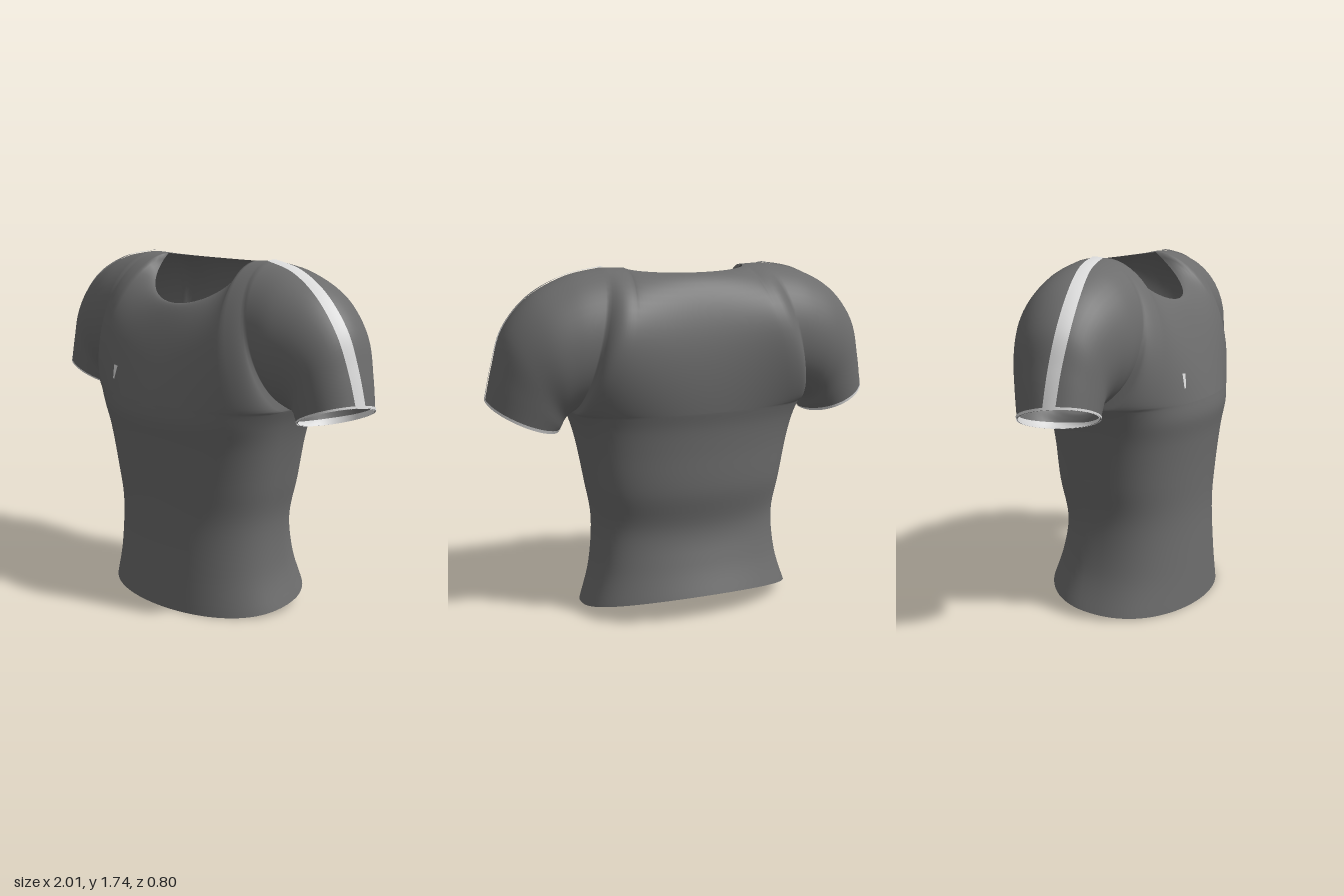
import * as THREE from 'three';
import { mergeGeometries, mergeVertices } from 'three/addons/utils/BufferGeometryUtils.js';

const { lerp } = THREE.MathUtils;
const SIDE_Z = -0.05; // depth of the side and shoulder seams
const NECK = 0.6;     // share of a panel's width taken by the neckline

// Smooth interpolation through rows of numbers, t counted in rows
function track(rows) {
  return (t) => {
    const last = rows.length - 1;
    const i = Math.min(Math.floor(t), last - 1), f = t - i;
    const [a, b, c, d] = [i - 1, i, i + 1, i + 2].map((k) => rows[Math.max(0, Math.min(last, k))]);
    return b.map((_, k) => b[k] + 0.5 * f * (c[k] - a[k] + f * (2 * a[k] - 5 * b[k] + 4 * c[k] - d[k]
      + f * (3 * (b[k] - c[k]) + d[k] - a[k]))));
  };
}

// Grid surface from a rule (u, v in 0..1) giving [x, y, z]
function patch(rule, nu, nv, flip = false) {
  const pos = [], index = [];
  for (let j = 0; j <= nv; j++) for (let i = 0; i <= nu; i++) pos.push(...rule(i / nu, j / nv));
  for (let j = 0; j < nv; j++) {
    for (let i = 0; i < nu; i++) {
      const a = j * (nu + 1) + i, b = a + 1, c = a + nu + 1, d = c + 1;
      index.push(...(flip ? [a, d, b, a, c, d] : [a, b, d, a, d, c]));
    }
  }
  const g = new THREE.BufferGeometry();
  g.setAttribute('position', new THREE.Float32BufferAttribute(pos, 3));
  g.setIndex(index);
  return g;
}

function join(parts) {
  const g = mergeVertices(mergeGeometries(parts), 1e-4);
  g.computeVertexNormals();
  return g;
}

// Waist rings: front y, back y, half width, front z, back z
const waist = track([
  [0.005, 0.13, 0.55, 0.37, -0.40],
  [0.20, 0.28, 0.495, 0.36, -0.345],
  [0.45, 0.45, 0.475, 0.35, -0.31],
  [0.65, 0.65, 0.505, 0.36, -0.345],
  [0.85, 0.85, 0.54, 0.38, -0.352],
  [0.97, 0.97, 0.57, 0.398, -0.36],
  [1.05, 1.05, 0.60, 0.39, -0.375],
]);
const WAIST_END = 6;

function waistPoint(u, t, side) {
  const [yf, yb, w, zf, zb] = waist(t);
  const phi = u * Math.PI / 2;
  const c = Math.pow(Math.max(0, Math.cos(phi)), lerp(0.85, 0.58, t / WAIST_END));
  const back = (1 - side * c) / 2;
  return [w * Math.sin(phi), lerp(yf, yb, back * back), SIDE_Z + c * ((side > 0 ? zf : zb) - SIDE_Z)];
}

// Shoulder seam and neckline
function topPoint(u, side) {
  const k = Math.abs(u), sign = Math.sign(u);
  if (k >= NECK) {
    const f = (k - NECK) / (1 - NECK);
    return [sign * lerp(0.31, 0.42, f), lerp(1.73, 1.735, f), SIDE_Z];
  }
  const a = k / NECK * Math.PI / 2, c = Math.cos(a);
  return [sign * 0.31 * Math.sin(a), 1.73 - (side > 0 ? 0.21 : 0.02) * c, SIDE_Z + (side > 0 ? 0.25 : -0.15) * c];
}

// Chest and back panels: each column swells to a set depth halfway up
function panelPoint(u, v, side) {
  const theta = Math.PI * (1 - v), f = (1 + Math.cos(theta)) / 2;
  const low = waistPoint(u, WAIST_END, side), top = topPoint(u, side);
  const p = low.map((q, k) => lerp(q, top[k], f));
  const u2 = u * u, u4 = u2 * u2;
  const middle = side > 0 ? 0.32 - 0.09 * u2 : -0.38 - 0.12 * u2 + 0.17 * u4;
  const swell = lerp(2.83 * f * Math.sqrt(1 - f), Math.sin(theta), u4);
  p[2] += (middle - (low[2] + top[2]) / 2) * swell;
  return p;
}

// Sleeve rings: top x, top y, bottom x, bottom y, front z, back z
const sleeve = track([
  [0.42, 1.735, 0.60, 1.05, 0.23, -0.33],
  [0.60, 1.70, 0.615, 1.04, 0.222, -0.325],
  [0.78, 1.61, 0.63, 1.03, 0.195, -0.31],
  [0.91, 1.46, 0.64, 1.01, 0.17, -0.277],
  [0.965, 1.28, 0.65, 0.985, 0.16, -0.25],
  [1.0, 1.115, 0.66, 0.975, 0.155, -0.225],
]);
const SLEEVE_END = 5;

// Point around a sleeve; the rings tip up at the front towards the cuff
function sleevePoint(theta, t, mirror, offset = 0) {
  const [tx, ty, bx, by, zf, zb] = sleeve(t);
  const c = Math.cos(theta), s = Math.sin(theta);
  const ax = (tx - bx) / 2, ay = (ty - by) / 2;
  const grow = 1 + offset / Math.hypot(ax, ay);
  const tip = 0.035 * (t / SLEEVE_END) ** 2;
  return [mirror * ((tx + bx) / 2 + ax * c * grow), (ty + by) / 2 + ay * c * grow + tip * s,
    (zf + zb) / 2 + ((zf - zb) / 2 + offset) * s];
}

// Centre line of the stripe in z, ring by ring
const stripeZ = track([[-0.035], [-0.01], [0.02], [0.028], [0.014], [0.005]]);

function stripePoint(u, v, mirror) {
  const t = v * SLEEVE_END, [, , , , zf, zb] = sleeve(t);
  const z = stripeZ(t)[0] + lerp(-0.028, 0.028, u);
  const theta = Math.asin((z - (zf + zb) / 2) / ((zf - zb) / 2));
  return sleevePoint(theta, t, mirror, 0.006);
}

// Even band of the given width along the cuff
function cuffBand(width, offset, mirror) {
  return patch((u, v) => {
    const theta = (2 * u - 1) * Math.PI;
    const ringGap = lerp(0.022, 0.16, (1 + Math.cos(theta)) / 2);
    return sleevePoint(theta, SLEEVE_END - (1 - v) * width / ringGap, mirror, offset);
  }, 48, 4, mirror < 0);
}

export function createModel() {
  const group = new THREE.Group();
  const fabric = new THREE.MeshStandardMaterial({ color: 0x6c6c6c, side: THREE.DoubleSide });
  fabric.name = 'grey fabric';
  const trim = new THREE.MeshStandardMaterial({ color: 0xdcdcdc, side: THREE.DoubleSide });
  trim.name = 'light trim';
  const add = (name, geometry, material) => {
    const mesh = new THREE.Mesh(geometry, material);
    mesh.name = name;
    group.add(mesh);
  };

  // Body panels and sleeves sewn into one smooth shell
  const shell = [];
  for (const side of [1, -1]) {
    shell.push(patch((u, v) => waistPoint(2 * u - 1, v * WAIST_END, side), 40, 36, side < 0));
    shell.push(patch((u, v) => panelPoint(2 * u - 1, v, side), 40, 24, side < 0));
  }
  for (const mirror of [1, -1]) {
    shell.push(patch((u, v) => sleevePoint((2 * u - 1) * Math.PI, v * SLEEVE_END, mirror), 48, 30, mirror < 0));
  }
  add('shirt', join(shell), fabric);

  // Shoulder stripes and cuff edging
  for (const mirror of [1, -1]) {
    const name = mirror > 0 ? 'left' : 'right';
    add(`${name}ShoulderStripe`, join([patch((u, v) => stripePoint(u, v, mirror), 4, 40, mirror < 0)]), trim);
    add(`${name}CuffEdge`, join([cuffBand(0.018, 0.004, mirror)]), trim);
    add(`${name}CuffLining`, join([cuffBand(0.03, -0.004, mirror)]), trim);
  }

  // Small light fleck on the right of the chest
  add('chestFleck', join([patch((u, v) => {
    const [x, y, z] = panelPoint(-0.33 + (u - 0.5) * lerp(0.015, 0.04, v), lerp(0.245, 0.345, v), 1);
    return [x, y, z + 0.005];
  }, 2, 4)]), trim);
  return group;
}
